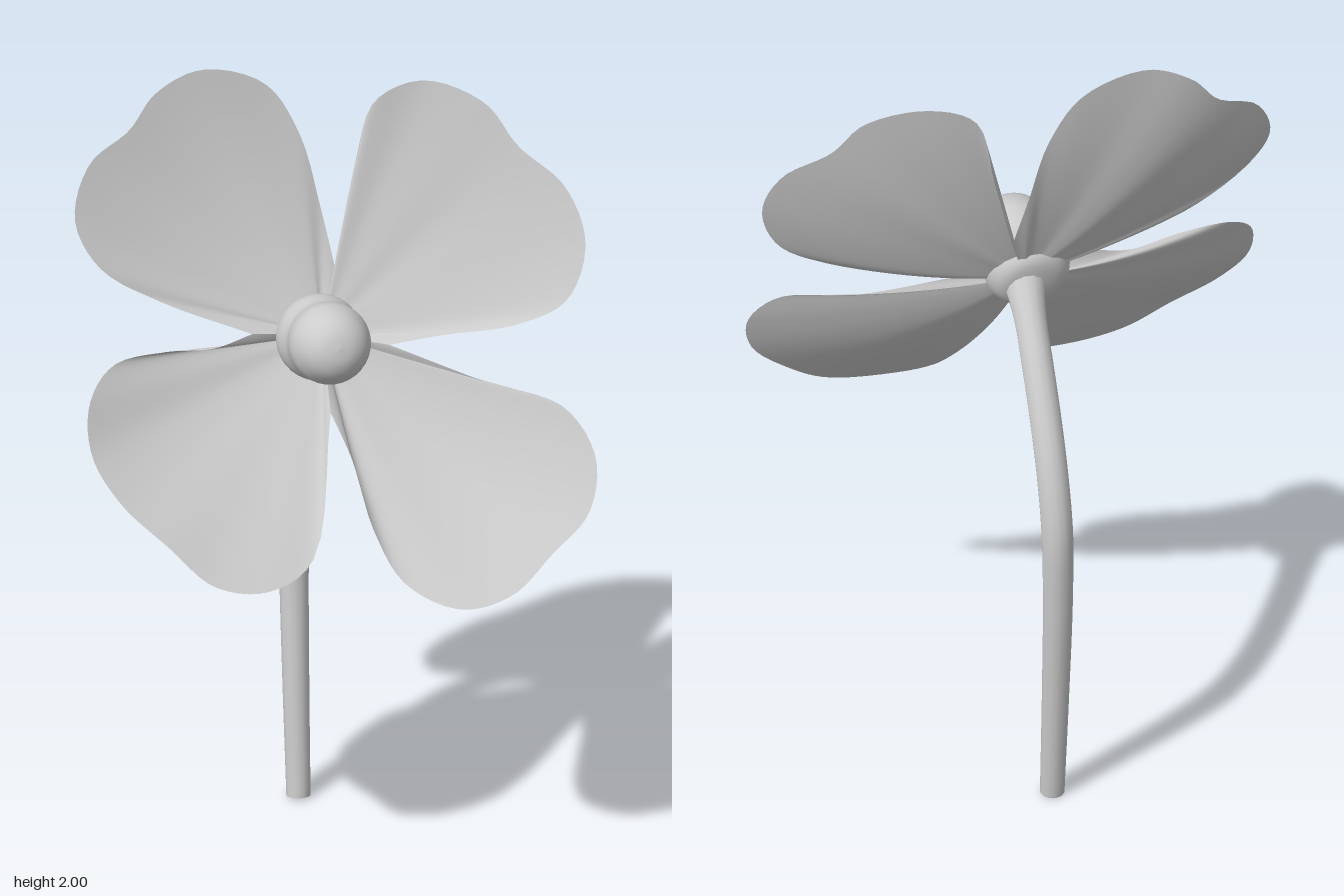
import * as THREE from 'three';

const grey = new THREE.MeshStandardMaterial({ color: 0xcccccc });
const greyThin = new THREE.MeshStandardMaterial({ color: 0xcccccc, side: THREE.DoubleSide });
const V = (x, y, z) => new THREE.Vector3(x, y, z);

const HEART = V(0, 1.345, -0.08); // where the petals and stem meet
const BACK = V(0, -0.5, -0.86);   // direction away from the flower's face

// Petal: rings shrinking from a smooth outline towards the heart, dished along the middle
function petal(name, points) {
  const outline = new THREE.CatmullRomCurve3(points.map((p) => V(...p)));
  const around = 56, rings = 14, pos = [], index = [];
  for (let j = 0; j <= rings; j++) {
    const r = j / rings;
    for (let i = 0; i <= around; i++) {
      const u = i / around;
      const dish = 0.13 * Math.sin(Math.PI * u) * r * (1 - r);
      const p = HEART.clone().lerp(outline.getPoint(u), r).addScaledVector(BACK, dish);
      pos.push(p.x, p.y, p.z);
      if (j < rings && i < around) {
        const a = j * (around + 1) + i, b = a + around + 1;
        if (j > 0) index.push(a, b, a + 1);
        index.push(a + 1, b, b + 1);
      }
    }
  }
  const geo = new THREE.BufferGeometry();
  geo.setAttribute('position', new THREE.Float32BufferAttribute(pos, 3));
  geo.setIndex(index);
  geo.computeVertexNormals();
  const mesh = new THREE.Mesh(geo, greyThin);
  mesh.name = name;
  return mesh;
}

// Stem: a bent tube, thicker towards the top, closed at the foot
function makeStem() {
  const path = new THREE.CatmullRomCurve3([
    V(0, 0.007, -0.307), V(0.002, 0.3, -0.34), V(0.006, 0.6, -0.373), V(0.01, 0.8, -0.38),
    V(0.012, 0.95, -0.345), V(0.012, 1.08, -0.285), V(0.01, 1.22, -0.195),
    V(0.005, 1.31, -0.115), V(0, 1.345, -0.07),
  ]);
  const steps = 48, sides = 14;
  const geo = new THREE.TubeGeometry(path, steps, 1, sides);
  const pos = geo.attributes.position, p = V(0, 0, 0);
  for (let i = 0; i <= steps; i++) {
    const t = i / steps, c = path.getPointAt(t);
    const radius = 0.03 + 0.009 * Math.min(1, t * 1.8) + 0.018 * Math.max(0, (t - 0.9) / 0.1) ** 2;
    for (let k = 0; k <= sides; k++) {
      const n = i * (sides + 1) + k;
      p.fromBufferAttribute(pos, n).sub(c).multiplyScalar(radius).add(c);
      pos.setXYZ(n, p.x, p.y, p.z);
    }
  }
  geo.computeVertexNormals();
  const stem = new THREE.Group();
  stem.name = 'stem';
  const tube = new THREE.Mesh(geo, grey);
  tube.name = 'stemTube';
  const foot = new THREE.Mesh(new THREE.CircleGeometry(0.03, sides), greyThin);
  foot.name = 'stemFoot';
  foot.position.copy(path.getPointAt(0));
  foot.lookAt(foot.position.clone().sub(path.getTangentAt(0)));
  stem.add(tube, foot);
  return stem;
}

// Flower centre: a waisted bulb pointing forward and slightly up
function makeCentre() {
  const profile = new THREE.SplineCurve([
    [0, -0.04], [0.07, -0.03], [0.1, 0.0], [0.106, 0.035], [0.095, 0.08], [0.1, 0.12],
    [0.097, 0.155], [0.075, 0.2], [0.04, 0.225], [0, 0.232],
  ].map(([x, y]) => new THREE.Vector2(x, y)));
  const points = profile.getPoints(40);
  points.forEach((q) => { q.x = Math.max(0, q.x); });
  const mesh = new THREE.Mesh(new THREE.LatheGeometry(points, 32), grey);
  mesh.name = 'flowerCentre';
  mesh.position.set(-0.015, 1.345, -0.075);
  mesh.quaternion.setFromUnitVectors(V(0, 1, 0), V(0, 0.28, 0.96).normalize());
  return mesh;
}

export function createModel() {
  const model = new THREE.Group();
  model.name = 'flower';

  model.add(petal('upperLeftPetal', [
    [0.15, 1.33, -0.01], [0.28, 1.35, 0.01], [0.45, 1.38, 0.06], [0.57, 1.44, 0.08],
    [0.625, 1.57, 0.05], [0.59, 1.7, -0.01], [0.49, 1.79, -0.08], [0.42, 1.89, -0.13],
    [0.28, 1.94, -0.19], [0.16, 1.89, -0.2], [0.11, 1.7, -0.19], [0.05, 1.48, -0.14],
  ]));
  model.add(petal('upperRightPetal', [
    [0.05, 1.48, -0.14], [0.025, 1.63, -0.19], [-0.02, 1.82, -0.225], [-0.1, 1.95, -0.25],
    [-0.255, 2.0, -0.26], [-0.37, 1.95, -0.26], [-0.44, 1.87, -0.24], [-0.55, 1.81, -0.2],
    [-0.6, 1.69, -0.15], [-0.55, 1.575, -0.11], [-0.4, 1.47, -0.1], [-0.18, 1.375, -0.06],
  ]));
  model.add(petal('lowerRightPetal', [
    [-0.18, 1.375, -0.06], [-0.28, 1.352, -0.05], [-0.4, 1.365, -0.035], [-0.54, 1.357, -0.01],
    [-0.615, 1.29, 0.05], [-0.625, 1.18, 0.11], [-0.57, 1.075, 0.18], [-0.47, 0.98, 0.25],
    [-0.37, 0.89, 0.31], [-0.24, 0.865, 0.32], [-0.115, 0.91, 0.27], [-0.015, 1.2, 0.06],
  ]));
  model.add(petal('lowerLeftPetal', [
    [-0.015, 1.2, 0.06], [0.02, 1.1, 0.14], [0.045, 0.96, 0.25], [0.1, 0.855, 0.34],
    [0.22, 0.805, 0.41], [0.35, 0.825, 0.405], [0.46, 0.9, 0.36], [0.56, 0.99, 0.335],
    [0.59, 1.11, 0.28], [0.53, 1.215, 0.2], [0.37, 1.252, 0.1], [0.15, 1.33, -0.01],
  ]));
  model.add(makeCentre(), makeStem());
  return model;
}
